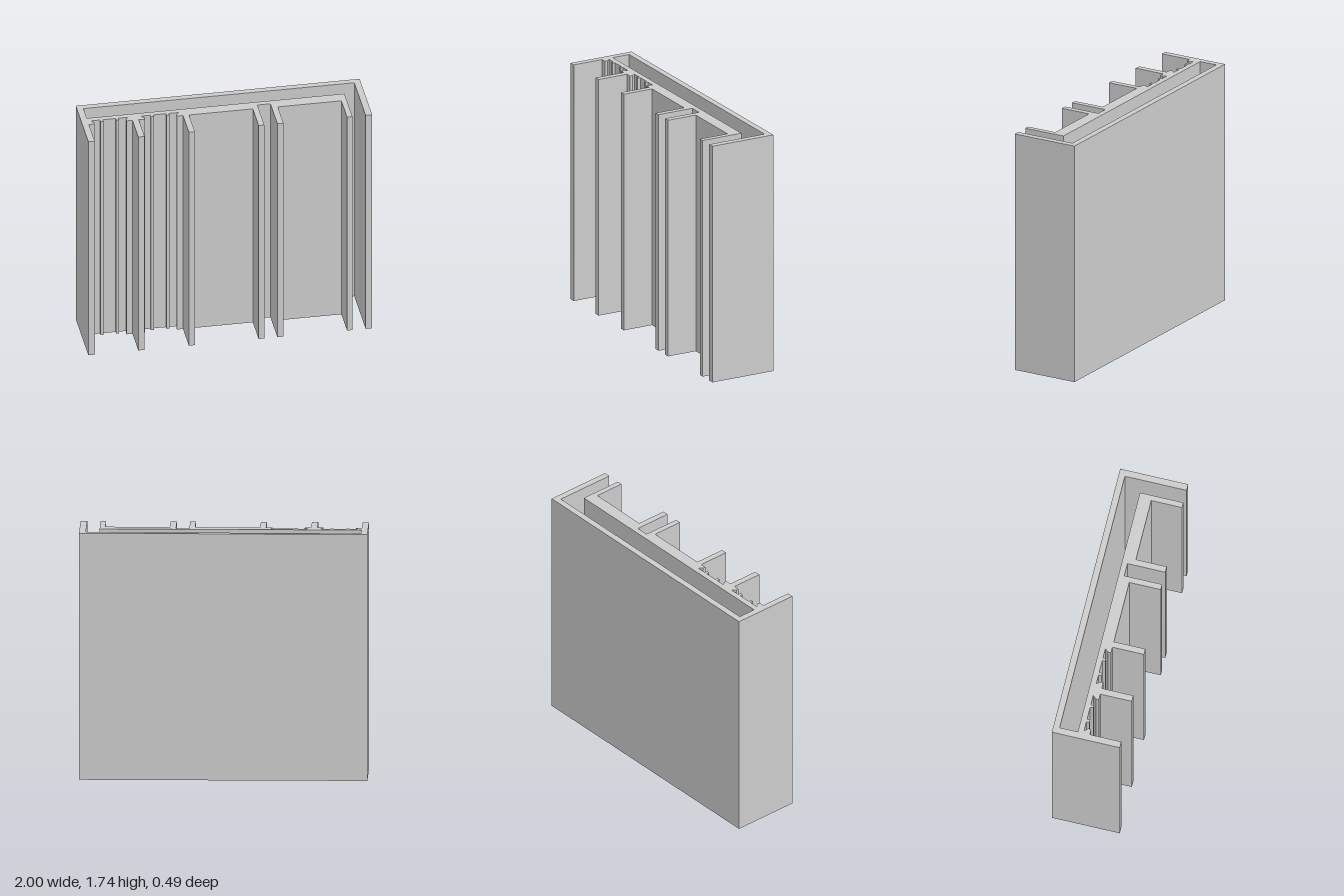
import * as THREE from 'three';

const HEIGHT = 1.735;
const BACK = -0.245, FRONT = 0.24;   // overall depth in z
const WEB_BACK = -0.07, WEB_FRONT = 0.015, GROOVE = -0.03;

// Front-facing fin: out along its left side, back along its right side
const fin = (x0, x1, zIn, zOut) => [[x0, zIn], [x0, FRONT], [x1, FRONT], [x1, zOut]];

// Undercut groove between two lips, with two small ribs on its floor
function groove(x) {
  const w = 0.225, under = 0.02, ribEnd = -0.008;
  const pts = [[x, WEB_FRONT], [x, -0.005], [x - under, GROOVE]];
  for (const r of [0.046, 0.156]) {
    pts.push([x + r, GROOVE], [x + r, ribEnd], [x + r + 0.02, ribEnd], [x + r + 0.02, GROOVE]);
  }
  pts.push([x + w + under, GROOVE], [x + w, -0.005], [x + w, WEB_FRONT]);
  return pts;
}

export function createModel() {
  const group = new THREE.Group();
  group.name = 'extrudedPanel';

  // Plan outline as [x, z]
  const outline = [
    // outer shell, starting with the left wall and its fin edge
    [-1, BACK], [-1, FRONT], [-0.955, FRONT], [-0.955, WEB_FRONT],
    // grooved part of the web
    ...groove(-0.915),
    ...fin(-0.648, -0.604, WEB_FRONT, WEB_FRONT),
    ...groove(-0.56),
    ...fin(-0.292, -0.25, WEB_FRONT, WEB_FRONT),
    // plain part of the web
    ...fin(0.2, 0.24, WEB_FRONT, GROOVE),
    ...fin(0.332, 0.375, GROOVE, 0.02),
    ...fin(0.823, 0.861, 0.02, WEB_BACK),
    // inside of the shell
    [-0.955, WEB_BACK], [-0.955, -0.2], [0.954, -0.2],
    [0.954, FRONT], [1, FRONT], [1, BACK],
  ];

  // Extrude the outline upwards
  const shape = new THREE.Shape(outline.map(([x, z]) => new THREE.Vector2(x, -z)));
  const geometry = new THREE.ExtrudeGeometry(shape, { depth: HEIGHT, bevelEnabled: false });
  geometry.rotateX(-Math.PI / 2);

  const material = new THREE.MeshStandardMaterial({ color: 0xcccccc, flatShading: true });
  const profile = new THREE.Mesh(geometry, material);
  profile.name = 'finnedProfile';
  group.add(profile);
  return group;
}
